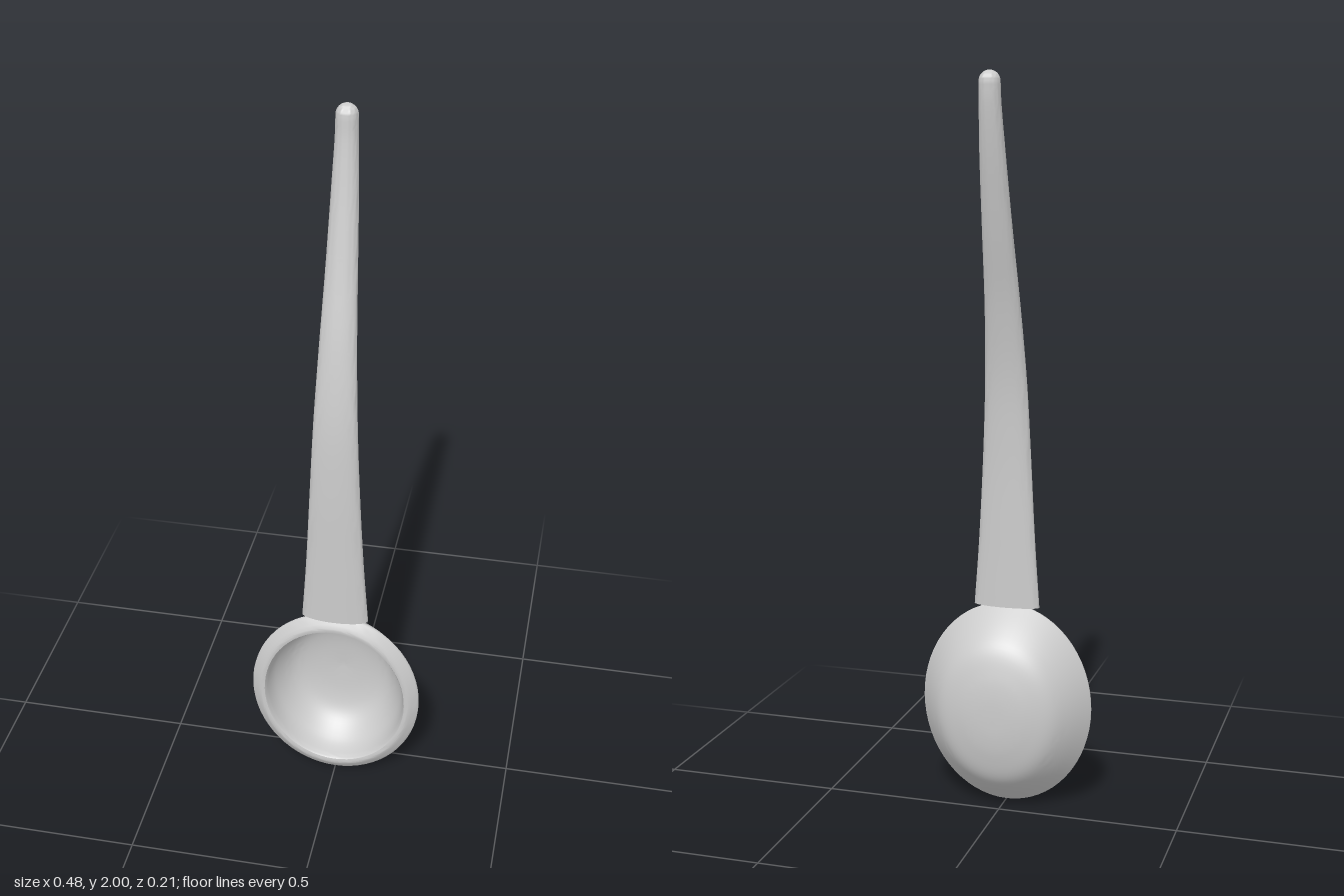
import * as THREE from 'three';
import { toCreasedNormals } from 'three/addons/utils/BufferGeometryUtils.js';

const material = new THREE.MeshStandardMaterial({ color: 0xcccccc });

// Smooth curve through [a, b] pairs
const smooth = (pairs, n) =>
  new THREE.SplineCurve(pairs.map(([a, b]) => new THREE.Vector2(a, b))).getPoints(n);

// Oval bowl: turned profile (radius, depth), stretched in height
function makeBowl() {
  const outer = smooth([[0, -0.063], [0.05, -0.061], [0.1, -0.052], [0.155, -0.031], [0.195, 0.01], [0.242, 0.078]], 24);
  const rim = smooth([[0.242, 0.082], [0.238, 0.087], [0.215, 0.104]], 5);
  const lip = [new THREE.Vector2(0.211, 0.105), new THREE.Vector2(0.203, 0.103)];
  const inner = smooth([[0.2, 0.098], [0.185, 0.045], [0.145, -0.012], [0.09, -0.036], [0, -0.045]], 24);
  outer[0].x = inner[24].x = 0;
  const geo = new THREE.LatheGeometry([...outer, ...rim, ...lip, ...inner], 64);
  geo.rotateX(Math.PI / 2);
  geo.scale(1, 0.287 / 0.242, 1);
  geo.translate(0, 0.287, 0);
  const mesh = new THREE.Mesh(toCreasedNormals(geo, 0.5), material);
  mesh.name = 'bowl';
  return mesh;
}

// Handle: oval cross-sections lofted along an S-curve, with a rounded tip
function makeHandle() {
  const sides = 32, bottom = 0.567, top = 2, tip = 0.028, body = 48, dome = 8;
  const centre = new THREE.CatmullRomCurve3([
    [0.093, 0.567, 0.08], [0.08, 0.75, 0.081], [0.067, 1.0, 0.08], [0.058, 1.2, 0.069],
    [0.049, 1.4, 0.036], [0.041, 1.6, -0.012], [0.034, 1.8, -0.056], [0.029, 1.92, -0.076], [0.028, 1.972, -0.08],
  ].map((p) => new THREE.Vector3(...p))); // x holds the half width
  const rows = [[bottom, 0, 0, 0.08]]; // y, half width, half depth, z
  for (let i = 0; i <= body; i++) {
    const p = centre.getPoint(i / body);
    rows.push([p.y, p.x, 0.0255, p.z]);
  }
  for (let i = 1; i <= dome; i++) {
    const a = (i / dome) * Math.PI / 2, c = Math.cos(a);
    rows.push([top - tip + tip * Math.sin(a), tip * c, 0.0255 * c, -0.08]);
  }
  const pos = [], index = [];
  rows.forEach(([y, w, d, z], r) => {
    for (let s = 0; s < sides; s++) {
      const a = (s / sides) * Math.PI * 2;
      pos.push(w * Math.sin(a), y, z + d * Math.cos(a));
      if (r === 0) continue;
      const n = (s + 1) % sides, lo = (r - 1) * sides, hi = r * sides;
      index.push(lo + s, lo + n, hi + n, lo + s, hi + n, hi + s);
    }
  });
  const geo = new THREE.BufferGeometry();
  geo.setAttribute('position', new THREE.Float32BufferAttribute(pos, 3));
  geo.setIndex(index);
  const mesh = new THREE.Mesh(toCreasedNormals(geo, 0.8), material);
  mesh.name = 'handle';
  return mesh;
}

export function createModel() {
  const group = new THREE.Group();
  group.name = 'spoon';
  group.add(makeBowl(), makeHandle());
  return group;
}
